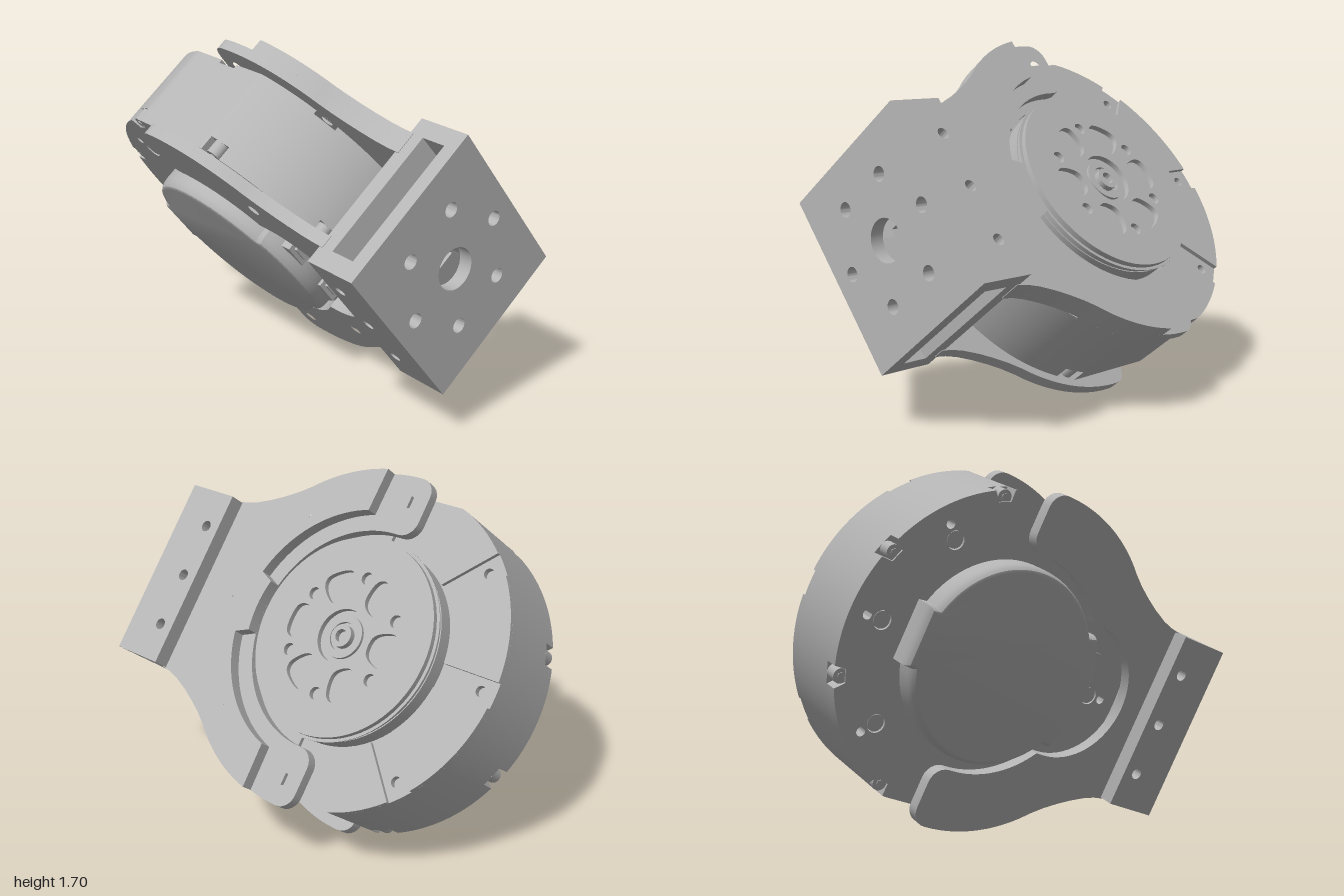
import * as THREE from 'three';
import { toCreasedNormals } from 'three/addons/utils/BufferGeometryUtils.js';

const grey = new THREE.MeshStandardMaterial({ color: 0xb5b5b5 });
grey.name = 'machined grey';
const CX = -0.2; // motor axis
const STEP = Math.PI / 4;

const polar = (r, a, cx = CX) => [cx + r * Math.cos(a), r * Math.sin(a)];
const arc = (r, a0, a1, n = 20, cx = CX) =>
  Array.from({ length: n + 1 }, (_, i) => polar(r, a0 + ((a1 - a0) * i) / n, cx));
const toShape = (pts) => new THREE.Shape(pts.map((p) => new THREE.Vector2(p[0], p[1])));

function hole(shape, x, y, r) {
  const p = new THREE.Path();
  p.absarc(x, y, r, 0, Math.PI * 2, true);
  shape.holes.push(p);
}
function disc(r) {
  const s = new THREE.Shape();
  s.absarc(CX, 0, r, 0, Math.PI * 2, false);
  return s;
}

export function createModel() {
  const tilt = new THREE.Group();
  tilt.name = 'actuatorInBracket';

  const add = (name, geo) => {
    const m = new THREE.Mesh(geo, grey);
    m.name = name;
    tilt.add(m);
    return m;
  };
  const slab = (name, shape, z0, z1, bevel = 0, inset = 0) => {
    const g = new THREE.ExtrudeGeometry(shape, {
      depth: z1 - z0 - bevel, curveSegments: 32, bevelEnabled: bevel > 0,
      bevelThickness: bevel, bevelSize: inset, bevelOffset: -inset, bevelSegments: 4,
    });
    g.translate(0, 0, z0);
    return add(name, toCreasedNormals(g, 0.5));
  };
  // Extrusion along x, with the shape drawn in z and y
  const slabX = (name, shape, x0, x1) => {
    const g = new THREE.ExtrudeGeometry(shape, { depth: x1 - x0, bevelEnabled: false, curveSegments: 24 });
    g.rotateY(Math.PI / 2);
    g.translate(x0, 0, 0);
    return add(name, toCreasedNormals(g, 0.5));
  };
  const box = (name, x, y, z, w, h, d) => add(name, new THREE.BoxGeometry(w, h, d).translate(x, y, z));
  const pin = (name, x, y, z, r, len, sides = 16) =>
    add(name, new THREE.CylinderGeometry(r, r, len, sides).rotateX(Math.PI / 2).translate(x, y, z));

  // Motor housing: a drum with flats on top and bottom
  const rim = (a) => Math.min(0.8, 0.76 / Math.max(Math.abs(Math.sin(a)), 1e-6));
  const outline = (notched) => {
    const pts = [];
    for (let i = 0; i < 288; i++) {
      const a = (i / 288) * Math.PI * 2;
      const off = Math.abs((i % 36) - 18);
      pts.push(polar(notched && off < 3 ? 0.745 : rim(a), a));
    }
    return toShape(pts);
  };
  slab('housingDrum', outline(false), -0.14, 0.18);
  const front = outline(true);
  const back = outline(false);
  for (let k = 0; k < 8; k++) {
    const a = k * STEP;
    hole(front, ...polar(0.63, a), 0.045);
    hole(front, ...polar(0.71, a), 0.022);
    hole(back, ...polar(0.72, a), 0.025);
    pin('dowel', ...polar(0.63, a), 0.215, 0.041, 0.066);
    // Rim screws in the notches
    const [x, y] = polar(0.765, a + STEP / 2);
    pin('rimScrew', x, y, 0.21, 0.036, 0.07);
    pin('rimScrewSocket', x, y, 0.215, 0.018, 0.07, 6);
    // Raised sectors between the radial channels
    const i = Math.asin(0.06 / 0.52), o = Math.asin(0.06 / 0.8);
    const outer = Array.from({ length: 17 }, (_, j) => {
      const t = a + o + ((STEP - 2 * o) * j) / 16;
      return polar(rim(t), t);
    });
    slab('backSector', toShape([...outer, ...arc(0.5, a + STEP - i, a + i, 12)]), -0.19, -0.165);
  }
  slab('housingFront', front, 0.18, 0.253);
  slab('housingBack', back, -0.17, -0.14);

  // Front cover with a small left ear and a wide connector ear
  const cover = [];
  for (let i = 0; i < 180; i++) {
    const a = (i / 180) * Math.PI * 2 - Math.PI;
    const right = Math.abs(a) < 0.6, left = Math.abs(a) > Math.PI - 0.29;
    cover.push(polar(right ? 0.52 : left ? 0.5 / Math.abs(Math.cos(a)) : 0.48, a));
  }
  slab('frontCover', toShape(cover), 0.253, 0.385, 0.06, 0.025);
  for (const s of [-1, 1]) {
    box('connectorSocket', 0.29, s * 0.15, 0.29, 0.08, 0.13, 0.07);
    box('connectorPlug', 0.32, s * 0.15, 0.285, 0.05, 0.08, 0.04);
  }

  // Output flange with screw pockets and pin holes
  const flange = disc(0.485);
  hole(flange, CX, 0, 0.13);
  for (let k = 0; k < 6; k++) {
    const a = (k * Math.PI) / 3;
    const c = Math.cos(a), s = Math.sin(a);
    const P = (u, v) => new THREE.Vector2(CX + u * c - v * s, u * s + v * c);
    const pocket = new THREE.CatmullRomCurve3(
      [[0.17, -0.035], [0.17, 0.035], [0.2, 0.065], [0.28, 0.085], [0.315, 0.06], [0.315, -0.06], [0.28, -0.085], [0.2, -0.065]]
        .map(([u, v]) => new THREE.Vector3(P(u, v).x, P(u, v).y, 0)), true);
    flange.holes.push(new THREE.Path(pocket.getPoints(40).map((p) => new THREE.Vector2(p.x, p.y))));
    hole(flange, ...polar(0.29, a + Math.PI / 6), 0.03);
    // Socket-head screw
    const [x, y] = polar(0.24, a);
    const head = new THREE.Shape();
    head.absarc(x, y, 0.05, 0, Math.PI * 2, false);
    head.holes.push(new THREE.Path(arc(0.026, 0, -Math.PI * 2, 6, 0).map((p) => new THREE.Vector2(p[0] + x, p[1] + y))));
    slab('flangeScrew', head, -0.285, -0.245);
  }
  slab('outputFlange', flange, -0.312, -0.25);
  slab('flangeStep', disc(0.5), -0.285, -0.28).scale.z = 1;
  slab('flangeBase', disc(0.49), -0.25, -0.15);
  const collar = disc(0.105);
  hole(collar, CX, 0, 0.07);
  slab('shaftCollar', collar, -0.3, -0.245);
  const shaft = disc(0.055);
  hole(shaft, CX, 0, 0.03);
  slab('shaft', shaft, -0.315, -0.245);

  // Bracket arms: each half outline is mirrored about the middle
  const mirrored = (half) => toShape([...half, ...half.slice().reverse().map(([x, y]) => [x, -y])]);
  const q = Math.PI / 2;
  const lug = [...arc(0.08, -q, -Math.PI, 6, -0.22).map(([x, y]) => [x, y + 0.62]),
    ...arc(0.08, Math.PI, q, 6, -0.22).map(([x, y]) => [x, y + 0.75])];
  const root = [[0.4, 0.59], [0.47, 0.55], [0.54, 0.515], [0.62, 0.482], [0.68, 0.465], [0.74, 0.457]];
  const outerEdge = (from) => [...arc(0.83, from, 0.87, 20), ...root];
  const armHoles = (s, angles) => {
    for (const a of angles) for (const m of [-1, 1]) hole(s, ...polar(0.705, a * m), 0.03);
    return s;
  };

  const frontArm = mirrored([...arc(0.34, 0.001, q, 16, 0.26), ...arc(0.54, 0.681, q, 16), ...lug, ...outerEdge(q)]);
  slab('frontBracketPlate', armHoles(frontArm, [q, STEP]), 0.262, 0.323);

  const innerBack = mirrored([...arc(0.54, 0.001, q, 24), ...lug, ...outerEdge(q)]);
  armHoles(innerBack, [q, STEP]);
  hole(innerBack, 0.54, 0, 0.03);
  slab('backBracketPlate', innerBack, -0.262, -0.21);

  const outerBack = mirrored([...arc(0.54, 0.001, 0.24, 6), ...arc(0.62, 0.26, 1.32, 20), ...outerEdge(1.39)]);
  armHoles(outerBack, [STEP]);
  hole(outerBack, 0.54, 0, 0.03);
  slab('backBracketRib', outerBack, -0.323, -0.262);

  // Mounting block: face plate with a bolt circle
  const H = 0.454, D = 0.405, S = 0.318;
  const rect = (w, h) => toShape([[-w, -h], [w, -h], [w, h], [-w, h]]);
  const face = rect(D, H);
  hole(face, 0, 0, 0.1);
  for (let k = 0; k < 6; k++) hole(face, ...polar(0.29, (k * Math.PI) / 3, 0), 0.035);
  slabX('blockFace', face, 0.93, 1);
  const inner = rect(S, H);
  hole(inner, 0, 0, 0.1);
  slabX('blockInnerWall', inner, 0.72, 0.8);

  for (const s of [-1, 1]) {
    // End walls with three cross holes
    const end = toShape([[0.72, -H], [0.93, -H], [0.93, H], [0.72, H]]);
    for (const y of [-0.27, 0, 0.27]) hole(end, 0.8, y, 0.028);
    slab('blockEndWall', end, s > 0 ? S : -D, s > 0 ? D : -S);
    // Web and sloped pocket walls, leaving the centre bore open
    const web = toShape([[0.8, -H], [0.845, -0.062], [0.93, -0.062], [0.93, 0.062], [0.845, 0.062], [0.8, H]]);
    slab('blockWeb', web, s > 0 ? 0.1 : -S, s > 0 ? S : -0.1);
    const wedge = [[0.8, s * 0.1], [0.84, s * 0.1], [0.8, s * H]];
    slab('pocketSlope', toShape(wedge), -0.1, 0.1);
  }

  // Whole assembly leans about the x axis
  tilt.rotation.x = 0.659;
  tilt.position.y = 0.855;
  const model = new THREE.Group();
  model.name = 'jointActuator';
  model.add(tilt);
  return model;
}
